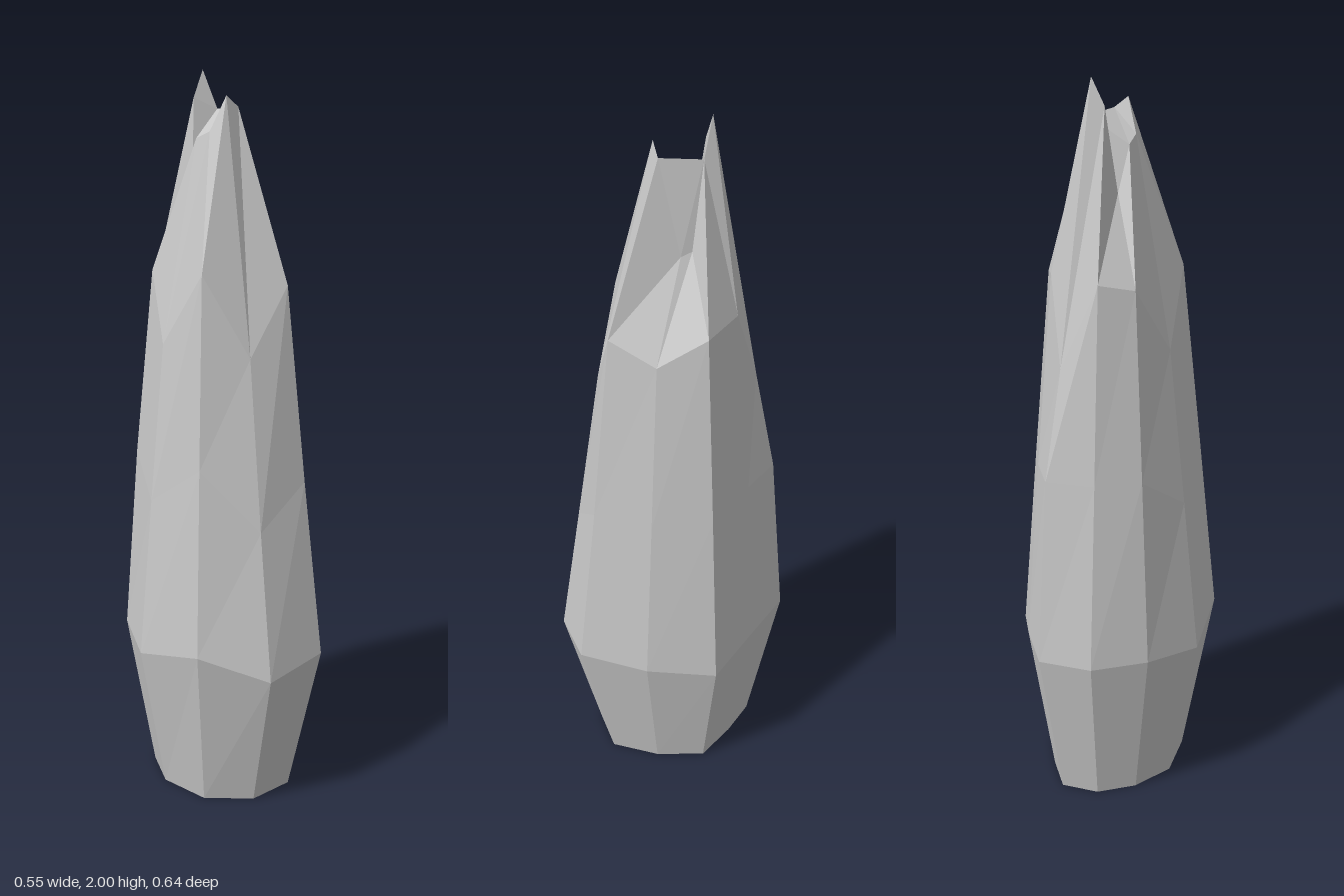
import * as THREE from 'three';

// Cross-sections of the stone spire: [x, y, z], running back, left, front, right
const WAIST = [
  [0.07, 0.45, -0.32], [-0.08, 0.45, -0.3], [-0.2, 0.45, -0.19], [-0.275, 0.43, -0.02], [-0.24, 0.48, 0.19],
  [-0.09, 0.41, 0.32], [0.1, 0.44, 0.315], [0.215, 0.43, 0.15], [0.275, 0.41, -0.04], [0.175, 0.455, -0.195],
];
const MIDDLE = [
  [0.065, 0.97, -0.275], [-0.068, 0.97, -0.25], [-0.168, 0.97, -0.168], [-0.228, 0.87, -0.023], [-0.198, 0.99, 0.15],
  [-0.077, 0.82, 0.259], [0.083, 0.93, 0.254], [0.178, 0.92, 0.12], [0.228, 0.94, -0.038], [0.146, 0.97, -0.17],
];
const SHOULDER = [
  [0.045, 1.27, -0.22], [-0.055, 1.5, -0.2], [-0.13, 1.48, -0.135], [-0.18, 1.3, -0.025], [-0.155, 1.5, 0.11],
  [-0.06, 1.28, 0.192], [0.065, 1.46, 0.195], [0.14, 1.4, 0.09], [0.178, 1.48, -0.035], [0.115, 1.5, -0.135],
];
const CROWN = [
  [0.015, 2.0, -0.095], [-0.02, 1.93, -0.09], [-0.045, 1.71, -0.065], [-0.06, 1.83, -0.03], [-0.055, 1.85, 0.02],
  [-0.02, 1.94, 0.045], [0.02, 1.91, 0.045], [0.06, 1.66, 0.0], [0.06, 1.67, -0.03], [0.04, 1.9, -0.065],
];
// Faces of the broken crown: back peak, left notch, front peak, right notch
const CROWN_FACES = [
  [9, 0, 1], [9, 1, 2], [9, 2, 3], [9, 3, 6], [3, 4, 6], [4, 5, 6], [9, 6, 7], [9, 7, 8],
];

function buildSpire() {
  const base = WAIST.map(([x, , z]) => [x * 0.71, 0, z * 0.71 - 0.005]);
  const rings = [base, WAIST, MIDDLE, SHOULDER, CROWN];
  const n = WAIST.length;
  const index = [];

  // Sides
  for (let r = 0; r < rings.length - 1; r++) {
    for (let i = 0; i < n; i++) {
      const j = (i + 1) % n;
      const a = r * n + i, b = r * n + j, c = a + n, d = b + n;
      index.push(a, b, d, a, d, c);
    }
  }
  // Flat underside
  for (let i = 1; i < n - 1; i++) index.push(0, i + 1, i);
  // Broken crown
  const top = (rings.length - 1) * n;
  for (const face of CROWN_FACES) index.push(...face.map((i) => top + i));

  const indexed = new THREE.BufferGeometry();
  indexed.setAttribute('position', new THREE.Float32BufferAttribute(rings.flat(2), 3));
  indexed.setIndex(index);
  const geometry = indexed.toNonIndexed();
  geometry.computeVertexNormals();
  return geometry;
}

export function createModel() {
  const group = new THREE.Group();
  group.name = 'rockSpire';
  const stone = new THREE.MeshStandardMaterial({ color: 0xc7c7c7, flatShading: true });
  stone.name = 'stone grey';
  const spire = new THREE.Mesh(buildSpire(), stone);
  spire.name = 'spire';
  group.add(spire);
  return group;
}
